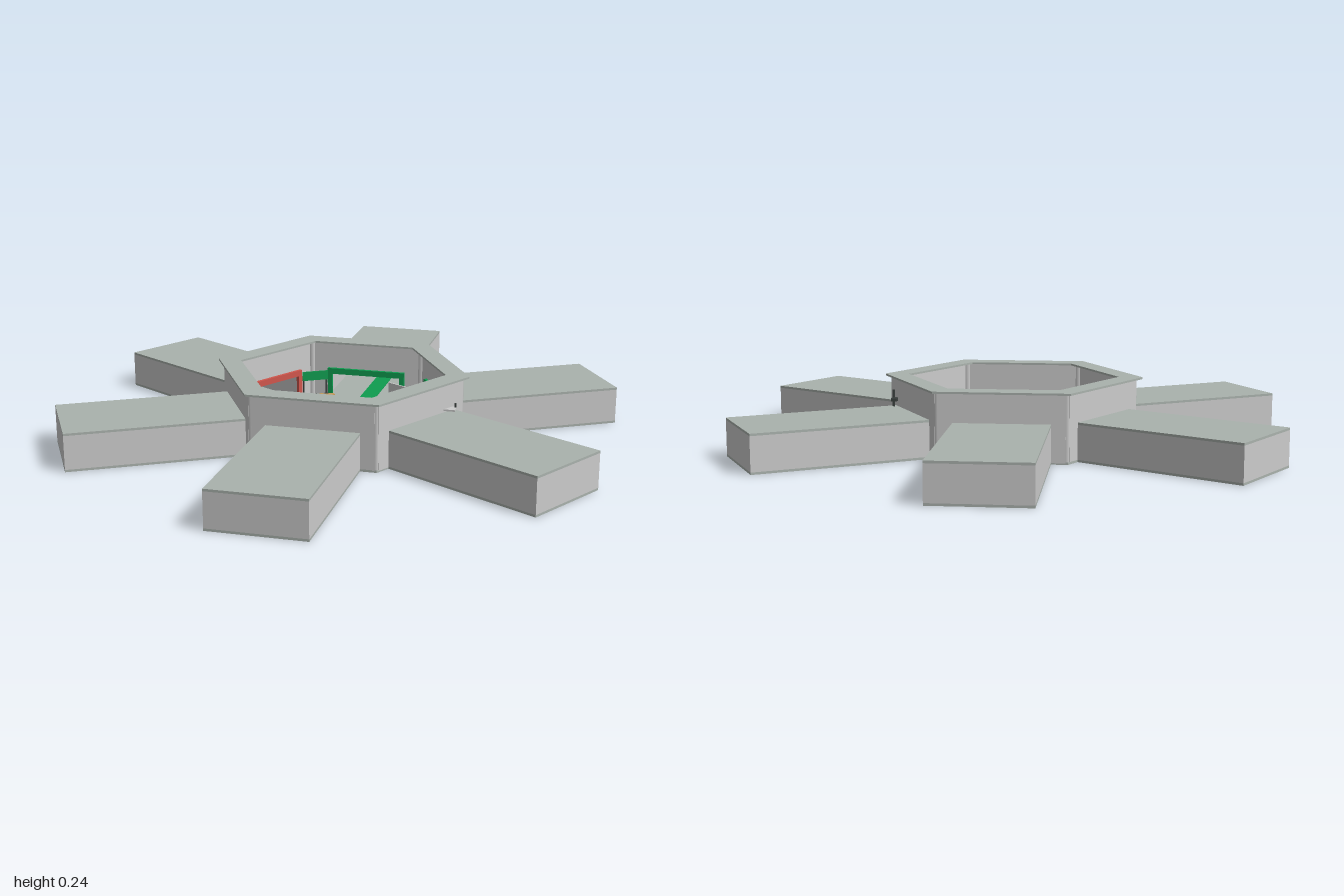
import * as THREE from 'three';

const WALL = 0.385, H = 0.235, HALF = 0.165, DOOR = 0.14;
const mat = (color, side = THREE.FrontSide) => new THREE.MeshStandardMaterial({ color, side });
const grey = mat(0xcccccc), slab = mat(0xaab2ad), green = mat(0x0f9d50), dark = mat(0x3c4240);
const wood = mat(0xc49a5a), pale = mat(0xd8dcd8);

function add(parent, name, geometry, material, x = 0, y = 0, z = 0) {
  const m = new THREE.Mesh(geometry, material);
  m.name = name;
  m.position.set(x, y, z);
  parent.add(m);
  return m;
}
const box = (parent, name, material, w, h, d, x, y, z) =>
  add(parent, name, new THREE.BoxGeometry(w, h, d), material, x, y, z);
const cyl = (parent, name, material, r, h, x, y, z, n = 32) =>
  add(parent, name, new THREE.CylinderGeometry(r, r, h, n), material, x, y, z);
function group(parent, name, x = 0, z = 0, turn = 0) {
  const g = new THREE.Group();
  g.name = name;
  g.position.set(x, 0, z);
  g.rotation.y = turn;
  parent.add(g);
  return g;
}

// hexagon outline with corners on the x axis
const hexPoints = (apothem) => Array.from({ length: 6 }, (_, i) => {
  const r = apothem / Math.cos(Math.PI / 6), a = i * Math.PI / 3;
  return new THREE.Vector2(r * Math.cos(a), r * Math.sin(a));
});
function hexSlab(outer, inner, height) {
  const s = new THREE.Shape(hexPoints(outer));
  if (inner) s.holes.push(new THREE.Path(hexPoints(inner)));
  const g = new THREE.ExtrudeGeometry(s, { depth: height, bevelEnabled: false });
  return g.rotateX(-Math.PI / 2);
}
function flatRing(inner, outer) {
  return new THREE.RingGeometry(inner, outer, 64).rotateX(-Math.PI / 2);
}

// wall panel with a doorway notch
function wallGeometry() {
  const w = 0.214;
  const s = new THREE.Shape();
  [[-w, 0.005], [-DOOR, 0.005], [-DOOR, 0.115], [DOOR, 0.115], [DOOR, 0.005], [w, 0.005], [w, H], [-w, H]]
    .forEach(([x, y], i) => (i ? s.lineTo(x, y) : s.moveTo(x, y)));
  return new THREE.ExtrudeGeometry(s, { depth: 0.012, bevelEnabled: false });
}

// one side of the hub, built facing +z: wall, door frame, hollow wing
function buildSide(parent, i, color) {
  const g = group(parent, 'side' + (i + 1), 0, 0, i * Math.PI / 3);
  const accent = mat(color);
  add(g, 'hubWall', wallGeometry(), grey, 0, 0, WALL - 0.012);
  // coloured door frame on the inside of the wall
  box(g, 'doorHeader', accent, 0.3, 0.022, 0.012, 0, 0.117, WALL - 0.018);
  for (const s of [-1, 1]) {
    box(g, 'doorJamb', accent, 0.018, 0.1, 0.012, s * 0.141, 0.06, WALL - 0.018);
  }
  // wing shell
  const len = 1 - WALL, mid = (1 + WALL) / 2;
  box(g, 'wingFloor', slab, 2 * HALF, 0.008, len, 0, 0.004, mid);
  box(g, 'wingRoof', slab, 2 * HALF, 0.008, len, 0, 0.131, mid);
  for (const s of [-1, 1]) box(g, 'wingWall', grey, 0.008, 0.119, len, s * (HALF - 0.004), 0.0675, mid);
  box(g, 'wingEnd', grey, 2 * HALF - 0.016, 0.119, 0.008, 0, 0.0675, 0.996);
  // guide strips on the floor
  box(g, 'guideStrip', green, 0.028, 0.003, 0.14, 0, 0.0105, 0.26);
  box(g, 'wingStrip', accent, 0.06, 0.003, 0.4, 0, 0.0095, 0.56);
  // slim post closing the corner between two walls
  const r = 0.43, a = Math.PI / 6;
  cyl(g, 'cornerPost', grey, 0.012, H - 0.005, r * Math.sin(a), H / 2 + 0.0025, r * Math.cos(a), 6);
}

function buildCentre(parent) {
  const g = group(parent, 'centre');
  add(g, 'greenRing', flatRing(0.168, 0.184), green, 0, 0.0125, 0);
  add(g, 'thinRing', flatRing(0.114, 0.117), dark, 0, 0.0115, 0);
  cyl(g, 'pedestal', mat(0x969d99), 0.052, 0.008, 0, 0.013, 0);
  box(g, 'post', dark, 0.02, 0.1, 0.02, 0, 0.06, 0);
  box(g, 'postHead', green, 0.034, 0.02, 0.034, 0, 0.115, 0);
  box(g, 'postCap', dark, 0.024, 0.008, 0.024, 0, 0.129, 0);
}

function stool(parent, x, z, material) {
  cyl(parent, 'stoolLeg', dark, 0.003, 0.024, x, 0.02, z, 8);
  cyl(parent, 'stoolSeat', material, 0.009, 0.006, x, 0.035, z, 16);
}

function buildCorners(parent) {
  // round table with six stools
  const t = group(parent, 'roundTable', -0.165, 0.275);
  cyl(t, 'rug', pale, 0.07, 0.003, 0, 0.0095, 0);
  cyl(t, 'tableLeg', dark, 0.006, 0.04, 0, 0.03, 0, 12);
  cyl(t, 'tableTop', wood, 0.018, 0.006, 0, 0.05, 0);
  for (let k = 0; k < 6; k++) {
    const a = k * Math.PI / 3;
    stool(t, 0.047 * Math.cos(a), 0.047 * Math.sin(a), k % 2 ? green : wood);
  }
  // staggered desks with seats and a green screen
  const d = group(parent, 'deskArea', -0.165, -0.28, Math.PI / 6);
  for (let k = -1; k <= 1; k++) {
    box(d, 'desk', wood, 0.042, 0.035, 0.024, k * 0.04, 0.027, k % 2 ? 0.008 : 0);
    stool(d, k * 0.04, -0.028, dark);
  }
  box(d, 'screen', green, 0.1, 0.035, 0.005, 0, 0.105, -0.05);
  for (const s of [-1, 1]) box(d, 'screenLeg', dark, 0.005, 0.1, 0.005, s * 0.045, 0.057, -0.05);
  // back bench panel
  const b = group(parent, 'benchPanel', 0.17, -0.29, -Math.PI / 6);
  box(b, 'panel', grey, 0.16, 0.09, 0.006, 0, 0.053, 0);
  box(b, 'bench', pale, 0.13, 0.02, 0.025, 0, 0.02, 0.018);
  // five-sided kiosk
  const s = new THREE.Shape();
  [[-0.06, -0.045], [0.045, -0.045], [0.055, 0], [0.02, 0.04], [-0.06, 0.01]]
    .forEach(([x, y], i) => (i ? s.lineTo(x, y) : s.moveTo(x, y)));
  const kiosk = new THREE.ExtrudeGeometry(s, { depth: 0.11, bevelEnabled: false }).rotateX(-Math.PI / 2);
  add(parent, 'kiosk', kiosk, grey, 0.17, 0.008, 0.28);
  // corner display with a shelf and lamp reaching past the walls
  const c = group(parent, 'cornerDisplay', 0.325, 0);
  box(c, 'displayPanel', grey, 0.006, 0.1, 0.18, 0, 0.058, 0);
  box(c, 'shelf', pale, 0.045, 0.006, 0.04, 0.082, 0.143, 0.075);
  box(c, 'shelfBack', dark, 0.006, 0.02, 0.006, 0.1, 0.15, 0.06);
  box(c, 'lampPost', dark, 0.008, 0.06, 0.008, 0.096, 0.165, -0.07);
  box(c, 'lampHead', dark, 0.02, 0.012, 0.025, 0.092, 0.16, -0.075);
  // small wedge in the opposite corner
  const w = cyl(parent, 'cornerWedge', grey, 0.025, 0.1, -0.36, 0.058, 0, 3);
  w.rotation.y = -Math.PI / 2;
}

export function createModel() {
  const model = new THREE.Group();
  model.name = 'hubBuilding';
  add(model, 'hubFloor', hexSlab(WALL, 0, 0.008), slab);
  add(model, 'roofRing', hexSlab(0.4, 0.327, 0.007), slab, 0, H, 0);
  const colors = [0x3f6fd0, 0xd8922e, 0x0f9d50, 0x0f9d50, 0xd0554c, 0x8a63b0];
  colors.forEach((c, i) => buildSide(model, i, c));
  buildCentre(model);
  buildCorners(model);
  return model;
}
